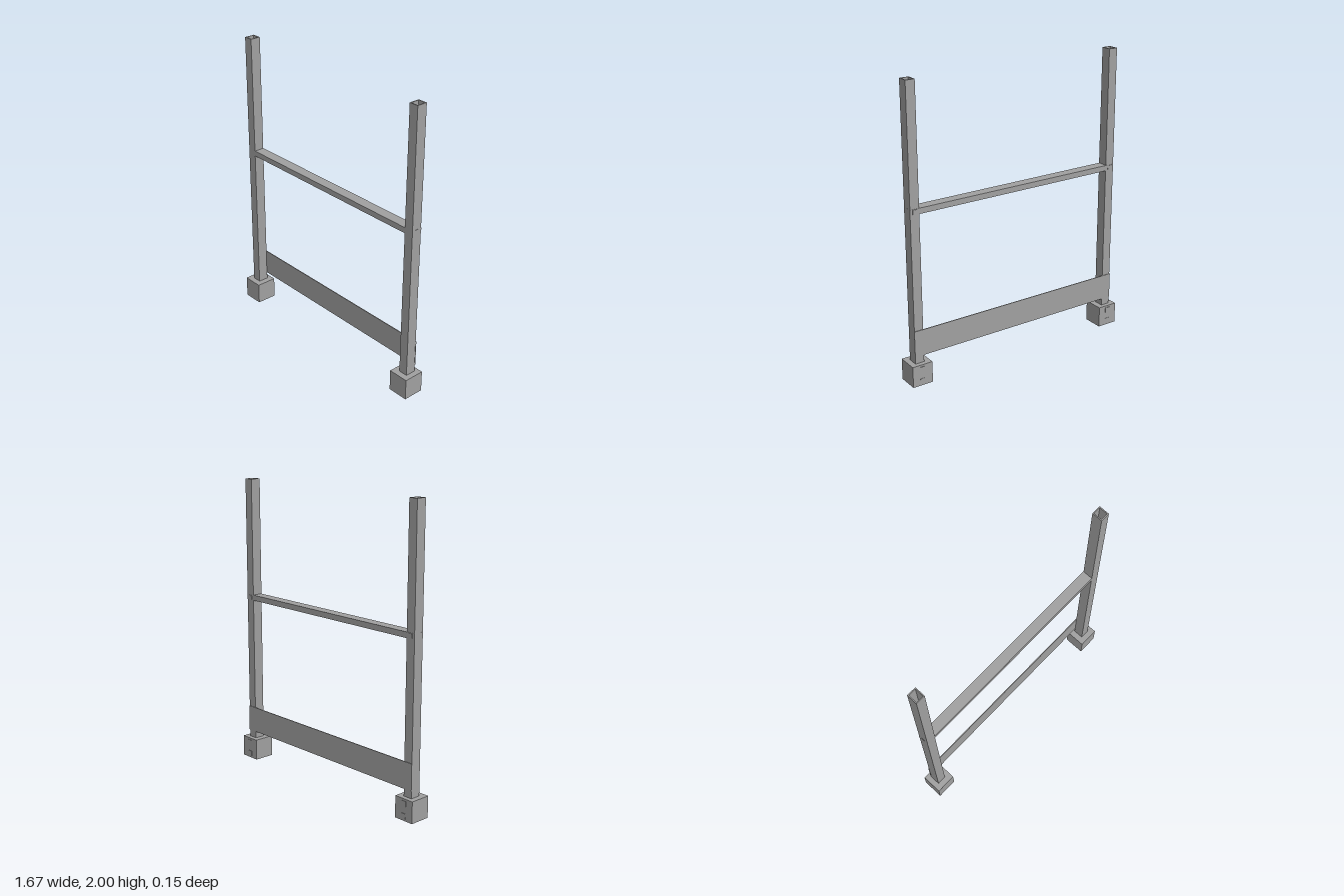
import * as THREE from 'three';

export function createModel() {
  const group = new THREE.Group();
  const steel = new THREE.MeshStandardMaterial({ color: 0xa0a0a0 });
  steel.name = 'grey steel';

  const add = (name, geometry, x, y, z) => {
    const mesh = new THREE.Mesh(geometry, steel);
    mesh.name = name;
    mesh.position.set(x, y, z);
    group.add(mesh);
    return mesh;
  };
  const box = (name, w, h, d, x, y, z) => add(name, new THREE.BoxGeometry(w, h, d), x, y, z);

  // Hollow rectangular tube standing on y = 0
  const tube = (w, d, height, wall) => {
    const rect = (path, a, b) => path.moveTo(-a, -b).lineTo(a, -b).lineTo(a, b).lineTo(-a, b).closePath();
    const shape = rect(new THREE.Shape(), w / 2, d / 2);
    shape.holes.push(rect(new THREE.Path(), w / 2 - wall, d / 2 - wall));
    return new THREE.ExtrudeGeometry(shape, { depth: height, bevelEnabled: false }).rotateX(-Math.PI / 2);
  };

  const footTop = 0.147;
  for (const [side, s] of [['left', 1], ['right', -1]]) {
    // Post in its square foot
    add(side + 'Post', tube(0.064, 0.072, 2 - footTop, 0.007), s * 0.764, footTop, -0.002);
    box(side + 'Foot', 0.144, footTop, 0.144, s * 0.762, footTop / 2, 0.003);
    // Square fixings on the back of the foot and of the rail joint
    for (const y of [0.032, 0.115]) {
      box(side + 'FootFixing', 0.036, 0.036, 0.006, s * 0.762, y, -0.069);
    }
    box(side + 'RailFixing', 0.03, 0.03, 0.006, s * 0.764, 1.18, -0.041);
  }

  // Middle rail, as deep as the posts
  box('middleRail', 1.594, 0.038, 0.073, 0, 1.179, -0.003);

  // Thin toe board across the back of the posts
  box('toeBoard', 1.596, 0.18, 0.006, 0, 0.287, -0.039);

  return group;
}
